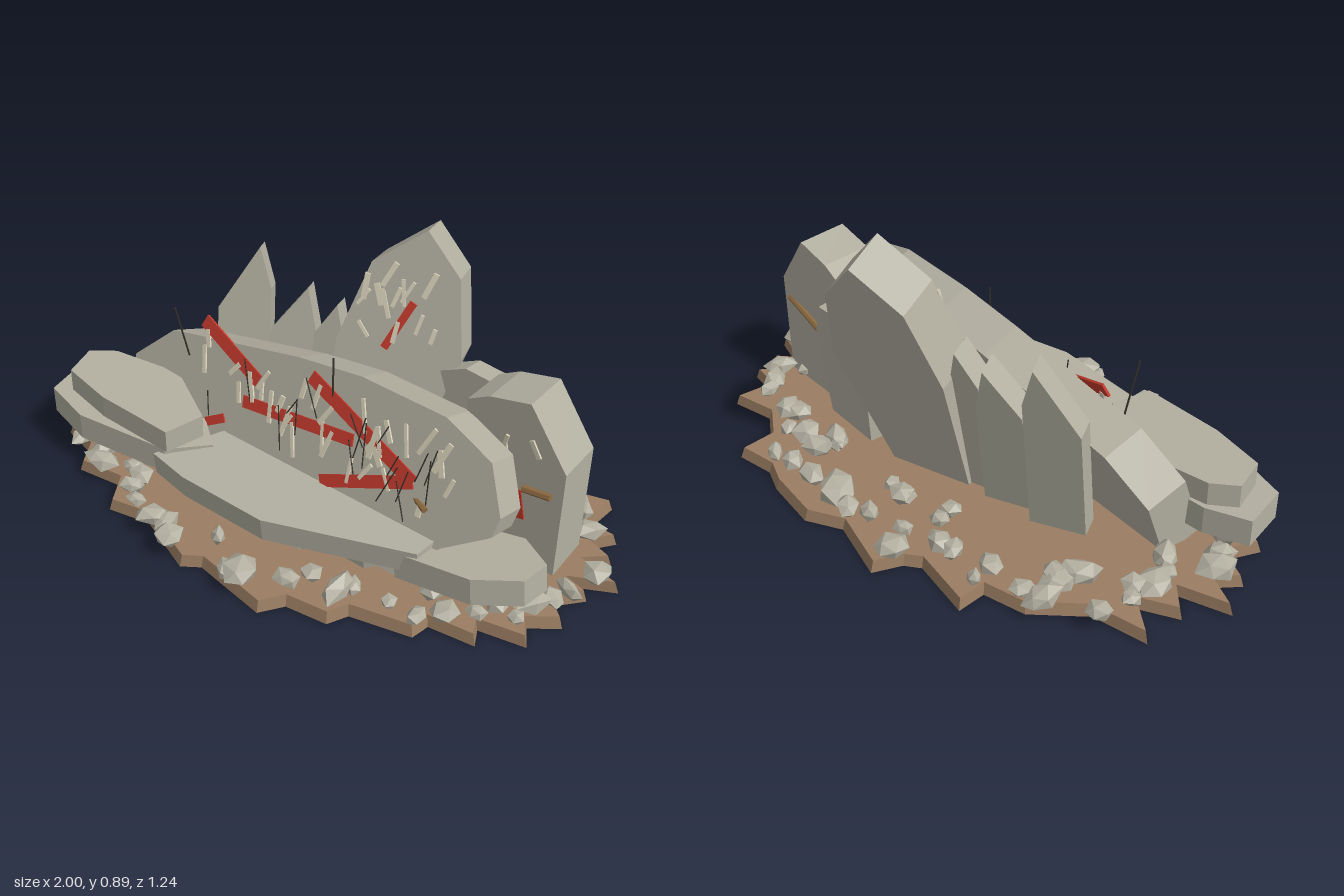
import * as THREE from 'three';

const material = (color) => new THREE.MeshStandardMaterial({ color, flatShading: true });
const concrete = material(0xb3b0a1), soil = material(0x9a7d62), red = material(0xc63a2c);
const cream = material(0xd9d2ba), steel = material(0x36322c), rust = material(0x8c6a40);

let seed = 7;
const rand = (a = 0, b = 1) => {
  seed = (seed * 16807) % 2147483647;
  return a + (b - a) * (seed / 2147483647);
};

function mesh(parent, name, geometry, mat) {
  const m = new THREE.Mesh(geometry, mat);
  m.name = name;
  parent.add(m);
  return m;
}

// Extruded outline; the far end is scaled by farX and farY.
function extrude(points, depth, farX = 1, farY = 1) {
  const shape = new THREE.Shape(points.map(([x, y]) => new THREE.Vector2(x, y)));
  const geo = new THREE.ExtrudeGeometry(shape, { depth, bevelEnabled: false, steps: 1 });
  const p = geo.attributes.position;
  for (let i = 0; i < p.count; i++) {
    if (p.getZ(i) > depth / 2) p.setXY(i, p.getX(i) * farX, p.getY(i) * farY);
  }
  geo.computeVertexNormals();
  return geo;
}

// Standing slab: outline in x and height, front face on local z = 0, leaning back and turned.
function uprightSlab(parent, name, outline, depth, [x, y, z], lean, turn) {
  const group = new THREE.Group();
  group.name = name;
  group.position.set(x, y, z);
  group.rotation.set(-lean, turn, 0, 'YXZ');
  group.userData.place = (px, py) => [(px - x) / Math.cos(turn), (py - y) / Math.cos(lean)];
  const geo = extrude(outline.map(([px, py]) => group.userData.place(px, py)), depth, 1.02, 1.01);
  mesh(group, name + 'Body', geo.translate(0, 0, -depth), concrete);
  parent.add(group);
  return group;
}

// Lying slab: outline in x and z.
function flatSlab(parent, name, outline, bottom, depth, roll, pitch = 0) {
  const cx = outline.reduce((s, p) => s + p[0], 0) / outline.length;
  const cz = outline.reduce((s, p) => s + p[1], 0) / outline.length;
  const geo = extrude(outline.map(([x, z]) => [x - cx, cz - z]), depth).rotateX(-Math.PI / 2);
  const m = mesh(parent, name, geo, concrete);
  m.position.set(cx, bottom, cz);
  m.rotation.set(pitch, 0, roll);
}

// Painted bar on the face of a standing slab, from a to b.
function mark(slab, name, a, b, width, mat, depth) {
  const [ax, ay] = slab.userData.place(...a), [bx, by] = slab.userData.place(...b);
  const length = Math.hypot(bx - ax, by - ay);
  const m = mesh(slab, name, new THREE.BoxGeometry(length, width, depth), mat);
  m.position.set((ax + bx) / 2, (ay + by) / 2, 0.001);
  m.rotation.z = Math.atan2(by - ay, bx - ax);
}

// Straight bar between two points.
function rod(parent, name, a, b, radius, mat) {
  const from = new THREE.Vector3(...a), to = new THREE.Vector3(...b);
  const dir = to.clone().sub(from);
  const m = mesh(parent, name, new THREE.CylinderGeometry(radius, radius, dir.length(), 6), mat);
  m.position.copy(from).add(to).multiplyScalar(0.5);
  m.quaternion.setFromUnitVectors(new THREE.Vector3(0, 1, 0), dir.normalize());
}

// Icosahedron with its corners pushed in and out.
function rockGeometry(k) {
  const geo = new THREE.IcosahedronGeometry(1, 0);
  const p = geo.attributes.position, v = new THREE.Vector3();
  for (let i = 0; i < p.count; i++) {
    v.fromBufferAttribute(p, i);
    v.multiplyScalar(1 + 0.18 * Math.sin(v.x * 5.1 + v.y * 7.3 + v.z * 3.7 + k * 2.1));
    p.setXYZ(i, v.x, v.y, v.z);
  }
  geo.computeVertexNormals();
  return geo;
}

export function createModel() {
  const model = new THREE.Group();
  model.name = 'rubblePile';

  // Jagged ground plate, outline in x and z, flaring towards the bottom
  const rim = [[1, 0], [0.87, -0.05], [0.94, -0.1], [0.86, -0.14], [0.92, -0.2], [0.82, -0.22],
    [0.85, -0.35], [0.7, -0.33], [0.6, -0.41], [0.61, -0.53], [0.48, -0.52], [0.4, -0.56],
    [0.22, -0.6], [0.1, -0.55], [-0.1, -0.625], [-0.15, -0.54], [-0.2, -0.51], [-0.4, -0.565],
    [-0.41, -0.47], [-0.55, -0.45], [-0.7, -0.33], [-0.88, -0.31], [-0.78, -0.22], [-0.9, -0.17],
    [-0.84, -0.1], [-1, -0.06], [-0.9, 0], [-0.96, 0.06], [-0.86, 0.12], [-0.92, 0.22],
    [-0.8, 0.27], [-0.76, 0.36], [-0.6, 0.36], [-0.55, 0.47], [-0.4, 0.46], [-0.2, 0.57],
    [-0.14, 0.54], [0.11, 0.615], [0.17, 0.55], [0.31, 0.55], [0.35, 0.49], [0.55, 0.47],
    [0.57, 0.41], [0.72, 0.41], [0.7, 0.35], [0.85, 0.34], [0.82, 0.27], [0.91, 0.22],
    [0.85, 0.15], [0.93, 0.08], [0.86, 0.05]];
  const plate = extrude(rim.map(([x, z]) => [x, -z]), 0.04, 0.985, 0.98);
  mesh(model, 'ground', plate.rotateX(-Math.PI / 2), soil);

  // Standing slabs
  const mainSlab = uprightSlab(model, 'mainSlab',
    [[-0.74, 0.06], [-0.74, 0.29], [-0.6, 0.42], [-0.1, 0.52], [0.13, 0.55], [0.43, 0.55],
      [0.6, 0.49], [0.67, 0.36], [0.66, 0.3], [0.52, 0.2], [0.4, 0.06]],
    0.14, [0, 0.05, 0.26], 0.36, -0.17);
  const tallSlab = uprightSlab(model, 'tallSlab',
    [[-0.05, 0.05], [-0.02, 0.5], [0.07, 0.76], [0.23, 0.88], [0.34, 0.75], [0.37, 0.5], [0.22, 0.05]],
    0.16, [0.15, 0.05, -0.05], 0.22, 0.2);
  const rightSlab = uprightSlab(model, 'rightSlab',
    [[0.5, 0.04], [0.48, 0.54], [0.55, 0.58], [0.68, 0.61], [0.81, 0.42], [0.81, 0.04]],
    0.17, [0.65, 0.04, 0.05], 0.01, -0.12);
  uprightSlab(model, 'rearSlab',
    [[0.3, 0.04], [0.28, 0.45], [0.38, 0.5], [0.5, 0.49], [0.55, 0.35], [0.52, 0.04]],
    0.08, [0.42, 0.04, -0.12], 0.08, -0.15);
  uprightSlab(model, 'leftShard',
    [[-0.48, 0.05], [-0.47, 0.47], [-0.34, 0.69], [-0.305, 0.55], [-0.31, 0.05]],
    0.07, [-0.38, 0.05, -0.08], 0.16, 0.35);
  uprightSlab(model, 'middleShard',
    [[-0.33, 0.05], [-0.27, 0.45], [-0.16, 0.6], [-0.13, 0.45], [-0.13, 0.05]],
    0.08, [-0.22, 0.05, -0.07], 0.17, 0.3);
  uprightSlab(model, 'smallShard',
    [[-0.15, 0.05], [-0.12, 0.48], [-0.05, 0.59], [-0.02, 0.45], [-0.03, 0.05]],
    0.08, [-0.09, 0.05, -0.07], 0.14, 0.2);

  // Lying slabs in front
  flatSlab(model, 'lowerLeftSlab', [[-0.94, 0.1], [-0.93, 0.26], [-0.76, 0.33], [-0.42, 0.33],
    [-0.3, 0.23], [-0.45, 0.08], [-0.8, 0.06]], 0.115, 0.095, -0.02);
  flatSlab(model, 'upperLeftSlab', [[-0.88, 0.12], [-0.86, 0.24], [-0.68, 0.3], [-0.4, 0.34],
    [-0.35, 0.21], [-0.55, 0.06], [-0.8, 0.07]], 0.215, 0.08, -0.03);
  flatSlab(model, 'frontSlab', [[-0.45, 0.34], [-0.3, 0.39], [0.02, 0.44], [0.5, 0.35],
    [0.53, 0.24], [0.3, 0.19], [-0.3, 0.13]], 0.12, 0.08, 0.025, 0.06);
  flatSlab(model, 'lowerRightSlab', [[0.43, 0.36], [0.68, 0.37], [0.82, 0.31], [0.85, 0.22],
    [0.75, 0.14], [0.45, 0.15]], 0.11, 0.095, 0.09);

  // Red painted stripes
  const stripes = [
    [mainSlab, [-0.49, 0.5], [-0.23, 0.4], 0.045], [mainSlab, [-0.27, 0.32], [0.16, 0.37], 0.04],
    [mainSlab, [-0.04, 0.49], [0.39, 0.34], 0.045], [mainSlab, [0.39, 0.34], [0.08, 0.21], 0.04],
    [mainSlab, [-0.4, 0.2], [-0.33, 0.24], 0.03], [tallSlab, [0.13, 0.5], [0.21, 0.66], 0.025],
    [rightSlab, [0.66, 0.3], [0.68, 0.2], 0.04],
  ];
  stripes.forEach(([slab, a, b, w]) => mark(slab, 'redStripe', a, b, w, red, 0.008));

  // Pale scratches
  const scratch = (slab, x, y) => {
    const dx = rand(-0.02, 0.02), dy = rand(0.02, 0.05);
    mark(slab, 'scratch', [x - dx, y - dy], [x + dx, y + dy], rand(0.01, 0.018), cream, 0.011);
  };
  for (let i = 0; i < 32; i++) scratch(mainSlab, rand(-0.46, 0.54), rand(0.25, 0.47));
  for (let i = 0; i < 14; i++) scratch(tallSlab, rand(0.05, 0.3), rand(0.52, 0.74));
  for (let i = 0; i < 3; i++) scratch(rightSlab, rand(0.6, 0.72), rand(0.4, 0.54));

  // Thin bent wires standing proud of the main face
  for (let i = 0; i < 18; i++) {
    const [x, y] = mainSlab.userData.place(rand(-0.4, 0.46), rand(0.22, 0.38));
    rod(mainSlab, 'wire', [x, y, 0], [x + rand(-0.07, 0.07), y + rand(0.08, 0.16), rand(0.01, 0.04)], 0.002, steel);
  }
  rod(model, 'wire', [-0.49, 0.39, 0.07], [-0.51, 0.58, 0.1], 0.003, steel);
  rod(model, 'wire', [0.08, 0.45, 0.12], [0.07, 0.59, 0.1], 0.003, steel);

  // Rusty reinforcement bars
  rod(model, 'reinforcementBar', [0.69, 0.33, 0.07], [0.78, 0.34, 0.08], 0.012, rust);
  rod(model, 'reinforcementBar', [0.38, 0.3, 0.2], [0.47, 0.29, 0.26], 0.01, rust);
  rod(model, 'reinforcementBar', [0.55, 0.31, -0.165], [0.81, 0.345, -0.1], 0.011, rust);
  rod(model, 'reinforcementBar', [-0.56, 0.26, 0.06], [-0.48, 0.25, 0.13], 0.01, rust);

  // Loose stones around the rim and on the open rear ground
  const rocks = [0, 1, 2, 3, 4].map(rockGeometry);
  const stones = new THREE.Group();
  stones.name = 'looseStones';
  model.add(stones);
  const stone = (x, z, i) => {
    const s = rand(0.028, 0.052);
    const m = mesh(stones, 'stone', rocks[i % 5], concrete);
    m.scale.set(s * rand(0.9, 1.5), s * 0.75, s * rand(0.8, 1.2));
    m.position.set(x, 0.04 + s * 0.65, z);
    m.rotation.set(rand(-0.2, 0.2), rand(0, 6.28), rand(-0.2, 0.2));
  };
  for (let i = 0; i < 62; i++) {
    const a = ((i + rand(-0.5, 0.5)) / 62) * Math.PI * 2, r = rand(0.74, 0.94);
    stone(Math.cos(a) * r, Math.sin(a) * r * 0.61, i);
  }
  for (let i = 0; i < 10; i++) stone(rand(-0.6, 0.6), rand(-0.42, -0.3), i);
  for (let i = 0; i < 24; i++) stone(rand(-0.75, 0.75), rand(0.15, 0.36), i);
  return model;
}
